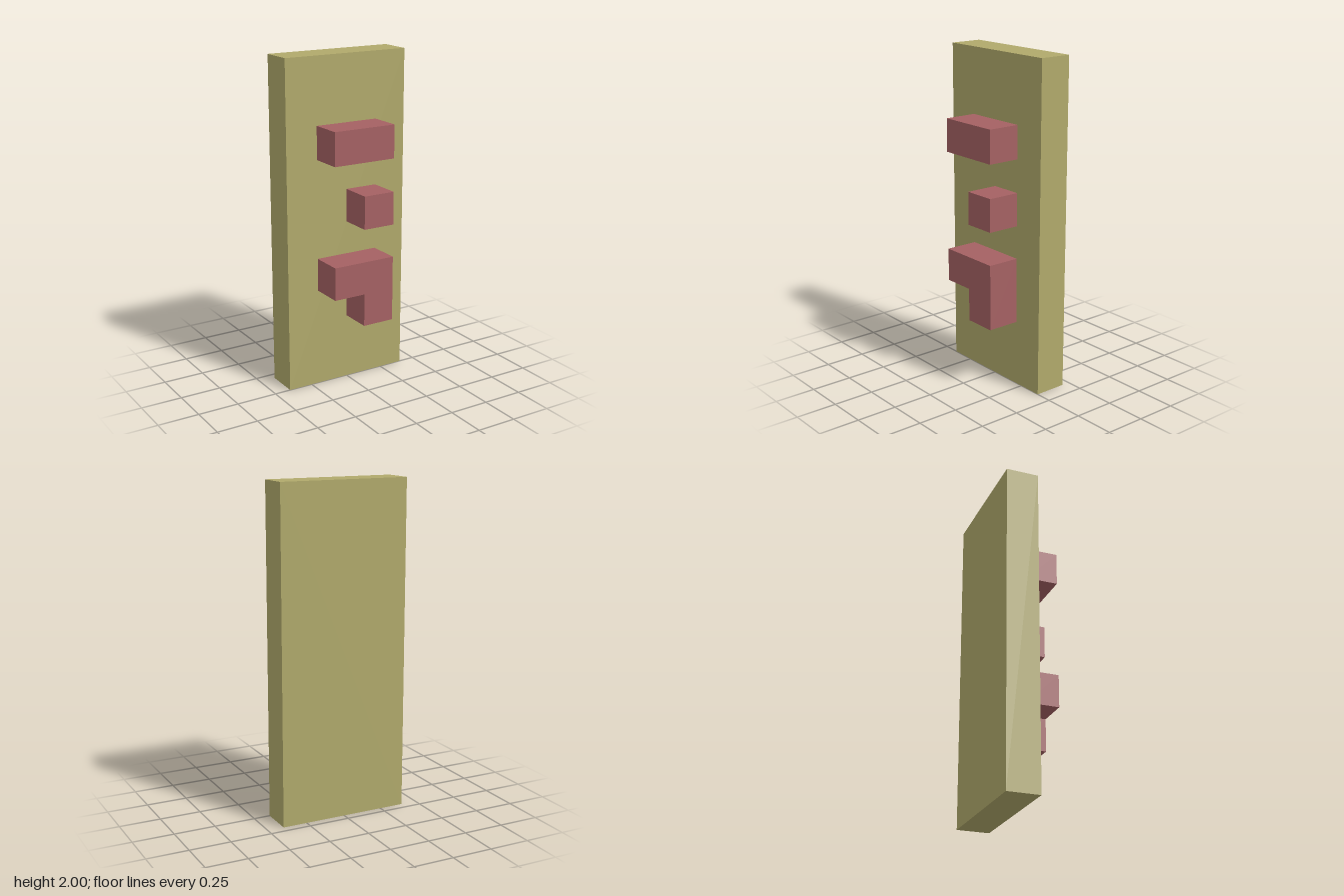
import * as THREE from 'three';

const DEPTH = 0.2;

// Extrude a front outline forward from z
function block(name, points, z, material) {
  const shape = new THREE.Shape(points.map(([x, y]) => new THREE.Vector2(x, y)));
  const geometry = new THREE.ExtrudeGeometry(shape, { depth: DEPTH, bevelEnabled: false });
  const mesh = new THREE.Mesh(geometry, material);
  mesh.name = name;
  mesh.position.z = z;
  return mesh;
}

// Corners of a rectangle, counter-clockwise
const rect = (x0, y0, x1, y1) => [[x0, y0], [x1, y0], [x1, y1], [x0, y1]];

export function createModel() {
  const model = new THREE.Group();
  model.name = 'slabWithRaisedBlocks';
  const olive = new THREE.MeshStandardMaterial({ color: 0xb0a96b });
  const red = new THREE.MeshStandardMaterial({ color: 0xa56163 });

  // Upright slab
  model.add(block('slab', rect(-0.4, 0, 0.4, 2), -DEPTH, olive));

  // Raised blocks on the front face
  model.add(block('upperBar', rect(-0.2, 1.4, 0.2, 1.6), 0, red));
  model.add(block('middleCube', rect(0, 1, 0.2, 1.2), 0, red));
  model.add(block('lowerHook',
    [[0, 0.4], [0.2, 0.4], [0.2, 0.8], [-0.2, 0.8], [-0.2, 0.6], [0, 0.6]], 0, red));

  return model;
}
